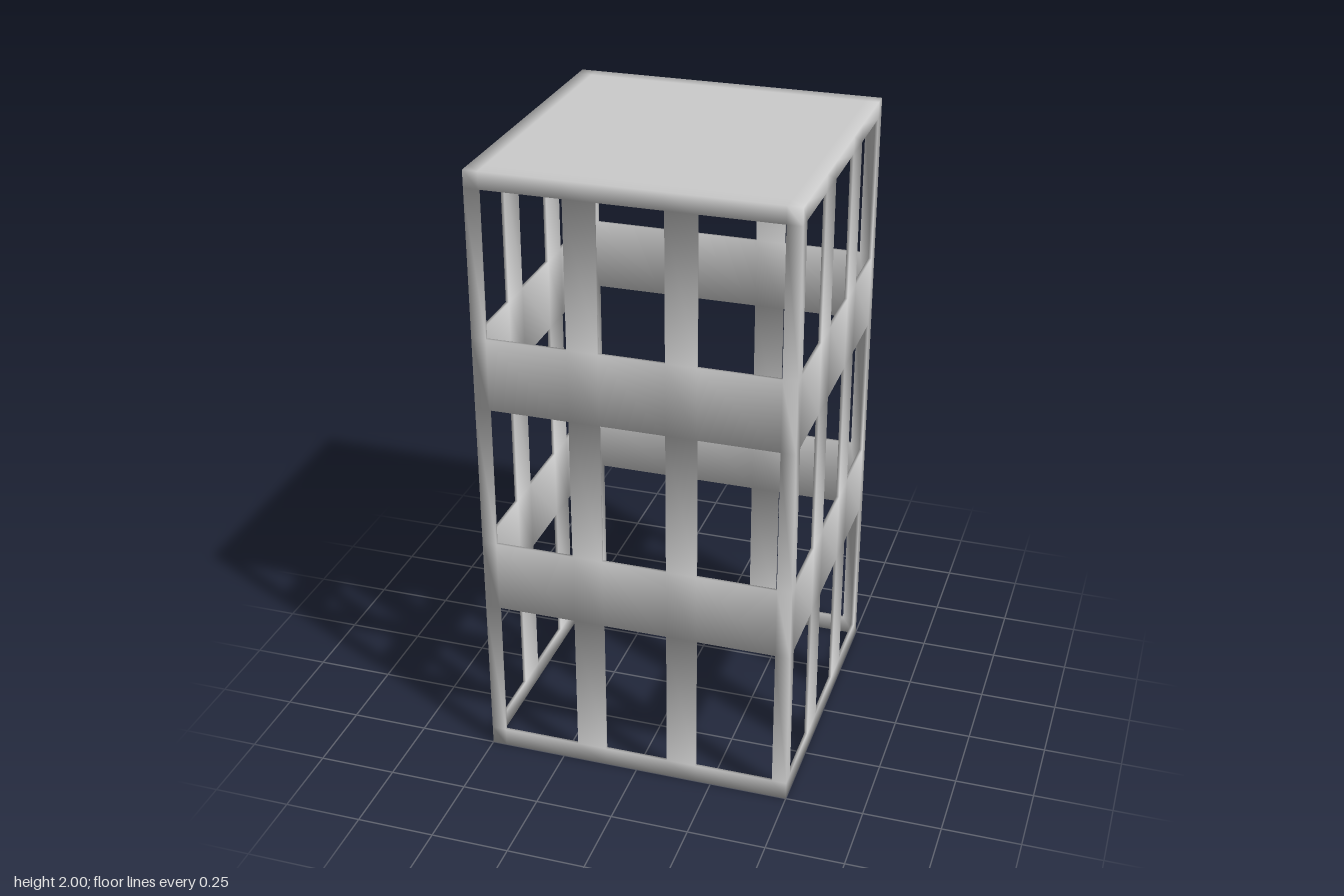
import * as THREE from 'three';

// Grid lines of the panels: odd columns and odd rows are windows
const XS = [-0.5, -0.453, -0.2, -0.103, 0.103, 0.2, 0.453, 0.5];
const ZS = [-0.5, -0.453, -0.227, -0.112, 0.112, 0.227, 0.453, 0.5];
const YS = [0, 0.06, 0.535, 0.77, 1.24, 1.475, 1.945, 2];
const T = 0.01; // wall thickness

const key = (p) => p.toArray().map((n) => Math.round(n * 1e4)).join();

// Matching point on the inside of the shell
function inner(p) {
  const r = 0.5 - T;
  return new THREE.Vector3(
    THREE.MathUtils.clamp(p.x, -r, r),
    Math.min(p.y, 2 - T),
    THREE.MathUtils.clamp(p.z, -r, r)
  );
}

// Triangle corners of one panel; at(i, j) gives grid points, counter-clockwise from outside
function panel(at, isWall) {
  const out = [];
  const quad = (a, b, c, d) => out.push(a, b, d, b, c, d);
  for (let i = 0; i < 7; i++) {
    for (let j = 0; j < 7; j++) {
      const c = [at(i, j), at(i + 1, j), at(i + 1, j + 1), at(i, j + 1)];
      const n = c.map(inner);
      if (isWall && i % 2 && j % 2) {
        // window reveals
        for (let k = 0; k < 4; k++) {
          const m = (k + 1) % 4;
          quad(c[k], c[m], n[m], n[k]);
        }
      } else {
        quad(...c);
        quad(n[1], n[0], n[3], n[2]);
      }
      // lip around the open bottom
      if (isWall && j === 0) quad(c[1], c[0], n[0], n[1]);
    }
  }
  return out;
}

export function createModel() {
  const V = (x, y, z) => new THREE.Vector3(x, y, z);
  const parts = {
    frontWall: panel((i, j) => V(XS[i], YS[j], 0.5), true),
    backWall: panel((i, j) => V(-XS[i], YS[j], -0.5), true),
    leftWall: panel((i, j) => V(0.5, YS[j], -ZS[i]), true),
    rightWall: panel((i, j) => V(-0.5, YS[j], ZS[i]), true),
    roof: panel((i, j) => V(XS[i], 2, -ZS[j]), false),
  };

  // Soft normals shared across all panels, every triangle counting equally
  const normals = new Map();
  const tri = new THREE.Triangle();
  const face = new THREE.Vector3();
  for (const pts of Object.values(parts)) {
    for (let k = 0; k < pts.length; k += 3) {
      tri.set(pts[k], pts[k + 1], pts[k + 2]).getNormal(face);
      for (let m = k; m < k + 3; m++) {
        const id = key(pts[m]);
        if (!normals.has(id)) normals.set(id, new THREE.Vector3());
        normals.get(id).add(face);
      }
    }
  }
  normals.forEach((n) => n.normalize());

  const group = new THREE.Group();
  group.name = 'windowedTower';
  const material = new THREE.MeshStandardMaterial({ color: 0xcccccc });
  for (const [name, pts] of Object.entries(parts)) {
    const geometry = new THREE.BufferGeometry().setFromPoints(pts);
    const flat = pts.flatMap((p) => normals.get(key(p)).toArray());
    geometry.setAttribute('normal', new THREE.Float32BufferAttribute(flat, 3));
    const mesh = new THREE.Mesh(geometry, material);
    mesh.name = name;
    group.add(mesh);
  }
  return group;
}
